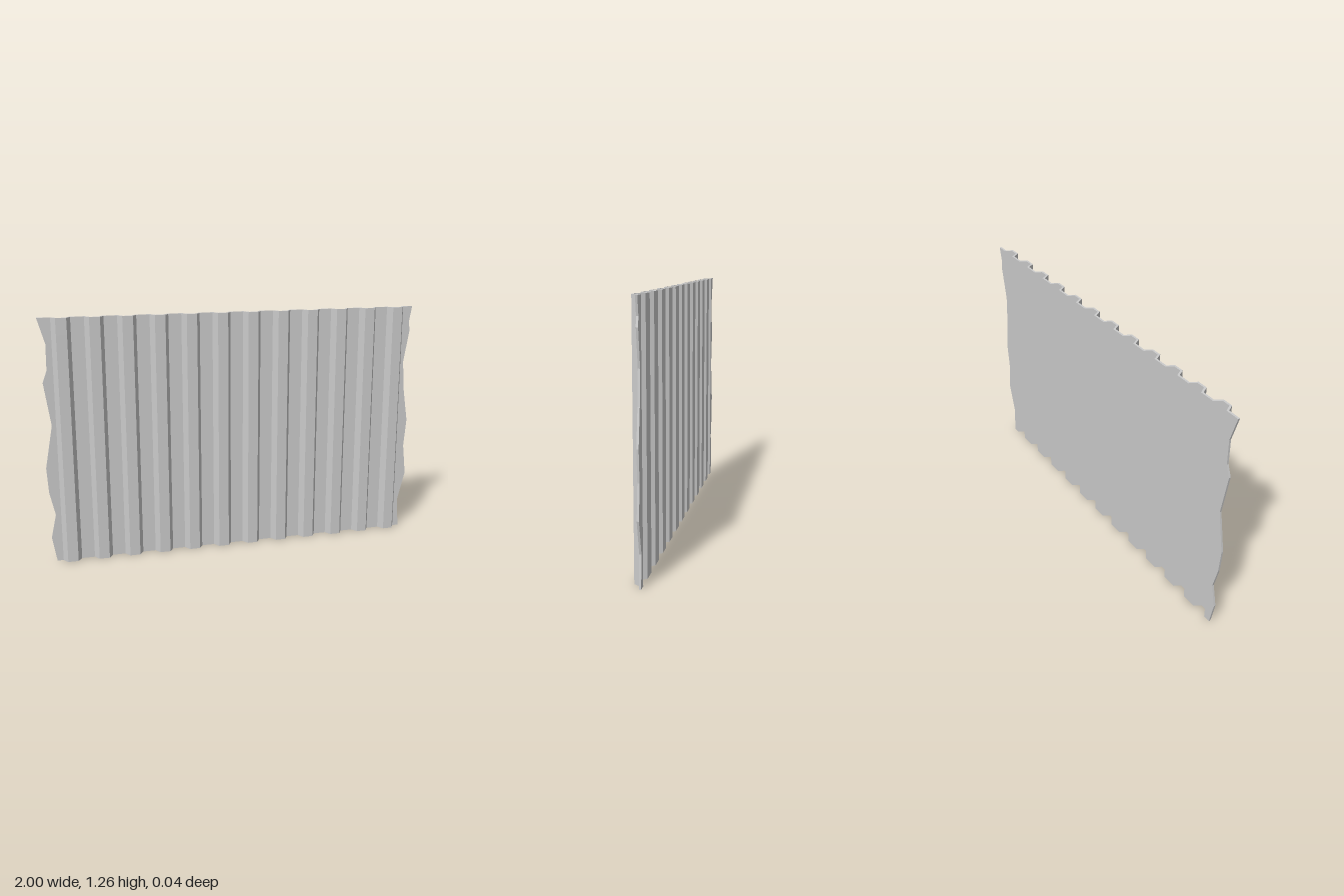
import * as THREE from 'three';

const RIDGES = 12, PITCH = 0.1614, FIRST = -0.8865;
const HALF_DEPTH = 0.022, THICK = 0.01, MITRE = 0.0054;

// Torn side edges as [y, x], bottom to top
const leftEdge = [[0, -0.965], [0.128, -0.987], [0.25, -0.96], [0.37, -0.987], [0.5, -0.995],
  [0.72, -0.955], [0.94, -0.987], [1.0, -0.965], [1.13, -0.963], [1.26, -1]];
const rightEdge = [[0, 0.97], [0.155, 0.958], [0.315, 0.998], [0.476, 0.98], [0.625, 0.992],
  [0.8, 0.965], [0.957, 0.953], [1.13, 0.982], [1.175, 0.975], [1.26, 0.99]];

// Linear interpolation along an edge
function edgeX(edge, y) {
  const i = Math.max(1, edge.findIndex(p => p[0] >= y));
  const [y0, x0] = edge[i - 1], [y1, x1] = edge[i];
  return x0 + (x1 - x0) * (y - y0) / (y1 - y0);
}

// One face of the corrugation, as [x, z] from left to right
function faceLine(zLow, zHigh, inset) {
  const pts = [[-1, zLow]];
  for (let i = 0; i < RIDGES; i++) {
    const c = FIRST + i * PITCH, foot = 0.0475 - inset, crest = 0.0265 - inset;
    pts.push([c - foot, zLow], [c - crest, zHigh], [c + crest, zHigh], [c + foot, zLow]);
  }
  pts.push([1, zLow]);
  return pts;
}

export function createModel() {
  const group = new THREE.Group();

  // Closed corrugated cross-section: front face, then back face reversed
  const front = faceLine(-HALF_DEPTH + THICK, HALF_DEPTH, 0);
  const back = faceLine(-HALF_DEPTH, HALF_DEPTH - THICK, MITRE);
  const outline = [...front, ...back.reverse()].map(([x, z]) => new THREE.Vector2(x, -z));

  // Rows at every height where either side edge bends
  const rows = [...new Set([...leftEdge, ...rightEdge].map(p => p[0]))].sort((a, b) => a - b);
  const steps = rows.length - 1;
  const geometry = new THREE.ExtrudeGeometry(new THREE.Shape(outline),
    { depth: steps, steps, bevelEnabled: false });
  geometry.rotateX(-Math.PI / 2);

  // Set the row heights and pull the two ends onto the torn edges
  const pos = geometry.attributes.position;
  for (let i = 0; i < pos.count; i++) {
    const y = rows[Math.round(pos.getY(i))], x = pos.getX(i);
    pos.setY(i, y);
    if (x < -0.99) pos.setX(i, edgeX(leftEdge, y));
    if (x > 0.99) pos.setX(i, edgeX(rightEdge, y));
  }
  geometry.computeVertexNormals();

  const sheet = new THREE.Mesh(geometry,
    new THREE.MeshStandardMaterial({ color: 0xcccccc, flatShading: true }));
  sheet.name = 'corrugatedSheet';
  group.add(sheet);
  return group;
}
